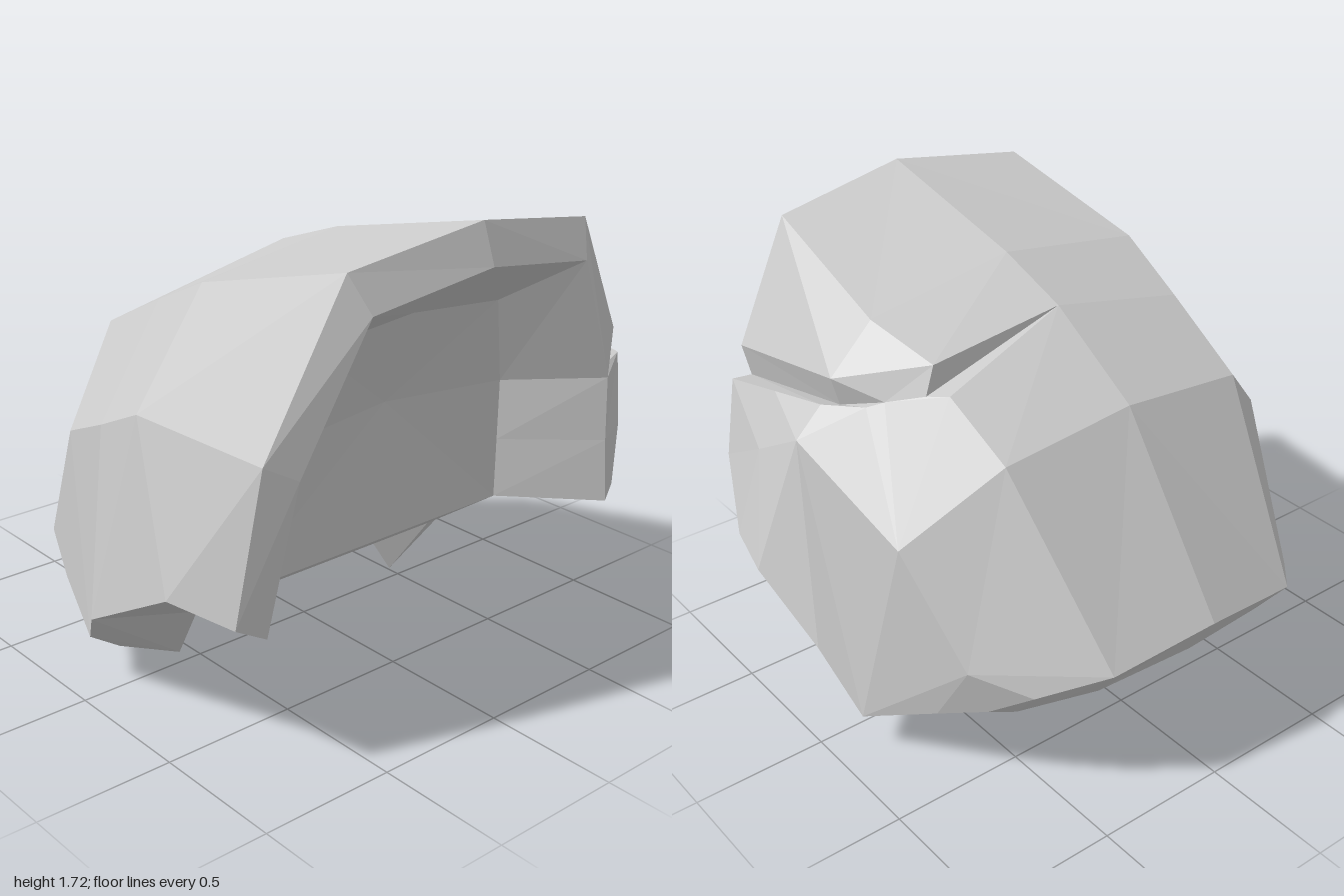
import * as THREE from 'three';

const material = new THREE.MeshStandardMaterial({ color: 0xcccccc, flatShading: true, side: THREE.DoubleSide });

// Quads between two chains of equally many points
function strip(a, b) {
  const tris = [];
  for (let i = 0; i < a.length - 1; i++) {
    tris.push([a[i], b[i], b[i + 1]], [a[i], b[i + 1], a[i + 1]]);
  }
  return tris;
}

// Triangles from one point to every segment of a chain
function fan(centre, chain) {
  return chain.slice(1).map((p, i) => [centre, chain[i], p]);
}

function loft(sections) {
  return sections.slice(1).flatMap((s, i) => strip(sections[i], s));
}

// Loft whose quads are split the same way on both sides of the middle point
function loftHalves(sections) {
  return [
    ...loft(sections.map((s) => s.slice(0, 4).reverse())),
    ...loft(sections.map((s) => s.slice(3))),
  ];
}

function part(name, tris) {
  const same = (p, q) => p.every((v, i) => v === q[i]);
  const solid = tris.filter(([a, b, c]) => !same(a, b) && !same(b, c) && !same(a, c));
  const geometry = new THREE.BufferGeometry();
  geometry.setAttribute('position', new THREE.Float32BufferAttribute(solid.flat(2), 3));
  geometry.computeVertexNormals();
  const mesh = new THREE.Mesh(geometry, material);
  mesh.name = name;
  return mesh;
}

const mirror = (chain) => chain.map(([x, y, z]) => [-x, y, z]);

export function createModel() {
  const group = new THREE.Group();
  group.name = 'hairShell';

  // Bottom of the groove between the parted lock and the side panel
  const gutter = [[0.71, 1.07, 0.81], [0.69, 1.19, 0.22], [0.63, 1.26, 0.03]];

  // Cross-sections of the crown, from the right-hand edge over the top
  const front = [[-0.92, 0.56, 0.76], [-0.84, 1.09, 0.8], [-0.55, 1.64, 0.84], [-0.02, 1.72, 0.88], [0.51, 1.64, 0.84], [0.74, 1.2, 0.81]];
  const middle = [[-1, 0.59, 0.51], [-0.9, 1.11, 0.24], [-0.6, 1.48, 0.2], [-0.02, 1.57, 0.2], [0.56, 1.48, 0.2], [0.72, 1.3, 0.22]];
  const parting = [[-0.975, 0.32, 0.03], [-0.88, 1.0, 0], [-0.57, 1.35, -0.09], [-0.02, 1.47, -0.09], [0.51, 1.41, -0.09], [0.51, 1.41, -0.09]];
  const behind = [...parting.slice(0, 4), [0.51, 1.33, -0.18], gutter[2]];
  const back = [[-0.91, 0.18, -0.09], [-0.84, 0.89, -0.26], [-0.53, 1.18, -0.45], [-0.02, 1.24, -0.47], [0.49, 1.18, -0.45], [0.8, 0.89, -0.27]];
  const nape = [[-0.81, 0.27, -0.39], [-0.73, 0.36, -0.6], [-0.42, 0.55, -0.89], [-0.02, 0.6, -0.93], [0.39, 0.55, -0.89], [0.72, 0.5, -0.53]];
  group.add(part('crown', loftHalves([front, middle, parting])));
  group.add(part('backOfHead', loftHalves([behind, back, nape])));

  // Lower side panel, each section running from top to bottom
  const bulge = [0.86, 1.1, 0.24];
  const side = [
    [[0.8, 1.09, 0.79], [0.86, 0.8, 0.77], [0.86, 0.55, 0.76]],
    [[0.78, 1.15, 0.51], [0.87, 0.95, 0.5], [0.95, 0.585, 0.57]],
    [[0.76, 1.21, 0.23], bulge, [1, 0.565, 0.35]],
    [[0.68, 1.24, 0.07], bulge, [0.95, 0.37, 0.05]],
    [back[5], back[5], [0.89, 0.14, -0.12]],
  ];
  group.add(part('sidePanel', loft(side)));

  // Groove under the parted lock, the notch behind it and the slit below
  const notch = [0.55, 1.31, -0.1];
  group.add(part('partingGroove', [
    ...loft([[front[5], middle[5], parting[5]], gutter, [side[0][0], side[2][0], side[3][0]]]),
    ...fan(notch, [gutter[2], parting[4], parting[3], behind[4], gutter[2]]),
    [gutter[2], side[3][0], back[5]],
  ]));

  // Lower back edges beside the nape
  const cornerL = [back[0], nape[0], nape[1], [-0.575, 0.455, -0.745], nape[2]];
  const cornerR = [side[4][2], [0.76, 0.27, -0.4], [0.66, 0.33, -0.56], [0.58, 0.44, -0.71], nape[4]];
  group.add(part('leftBackCorner', fan(nape[5], [back[5], ...cornerR])));

  // Front rim, the recess behind it and the wall closing the recess
  const rimSide = [0.69, 1.03, 0.84], recessSide = [0.55, 0.95, 0.46];
  const rim = [[-0.82, 0.51, 0.79], [-0.73, 1.03, 0.84], [-0.5, 1.51, 0.9], [-0.02, 1.58, 0.93], [0.46, 1.51, 0.9],
    rimSide, rimSide, rimSide, [0.74, 0.77, 0.81], [0.79, 0.51, 0.79]];
  const recess = [[-0.65, 0.45, 0.4], [-0.58, 0.95, 0.46], [-0.44, 1.31, 0.57], [-0.02, 1.35, 0.58], [0.4, 1.31, 0.57],
    recessSide, recessSide, recessSide, [0.58, 0.7, 0.43], [0.61, 0.45, 0.4]];
  group.add(part('frontRim', strip([...front, gutter[0], ...side[0]], rim)));
  group.add(part('frontRecess', strip(rim, recess)));
  group.add(part('recessWall', fan([-0.02, 1.0, 0.45], [...recess, recess[0]])));

  // Underside: sloping band and the two side edges
  const tipL = [-0.55, 0, -0.06], tipR = [0.51, 0, -0.06], heel = [-0.77, 0.08, -0.12];
  const bandL = [recess[0], [-0.59, 0.25, 0.11], [-0.44, 0.18, -0.1]];
  const bandR = [recess[9], [0.55, 0.25, 0.11], [0.41, 0.18, -0.1]];
  group.add(part('undersideBand', strip(bandL, bandR)));
  group.add(part('rightLowerEdge', strip(
    [front[0], middle[0], parting[0], back[0], heel], [rim[0], bandL[0], bandL[1], tipL, tipL])));
  group.add(part('leftLowerEdge', strip(
    side.map((s) => s[2]), [rim[9], bandR[0], bandR[0], bandR[1], tipR])));

  // Nape rim and the hollow under it
  const rimL = [tipL, [-0.62, 0.16, -0.33], [-0.59, 0.3, -0.6], [-0.5, 0.36, -0.7], [-0.39, 0.41, -0.78]];
  const rimR = [tipR, [0.58, 0.17, -0.36], [0.57, 0.31, -0.6], [0.47, 0.37, -0.7], [0.36, 0.41, -0.78]];
  const napeRim = [heel, ...rimL, [-0.02, 0.43, -0.82], ...rimR.slice().reverse()];
  const napeEdge = [back[0], ...cornerL, nape[3], ...cornerR.slice().reverse()];
  const hollowL = [bandL[2], [-0.49, 0.3, -0.32], [-0.47, 0.41, -0.53], [-0.41, 0.46, -0.62], [-0.33, 0.49, -0.69]];
  const hollow = [...hollowL, [-0.02, 0.51, -0.73], ...mirror(hollowL.slice(1)).reverse(), bandR[2]];
  group.add(part('napeRim', strip(napeEdge, napeRim)));
  group.add(part('napeHollow', [
    ...strip(napeRim.slice(1), hollow),
    ...fan([-0.02, 0.38, -0.4], [...hollow, hollow[0]]),
    [tipL, bandL[1], bandL[2]], [tipR, bandR[2], bandR[1]],
  ]));
  return group;
}
